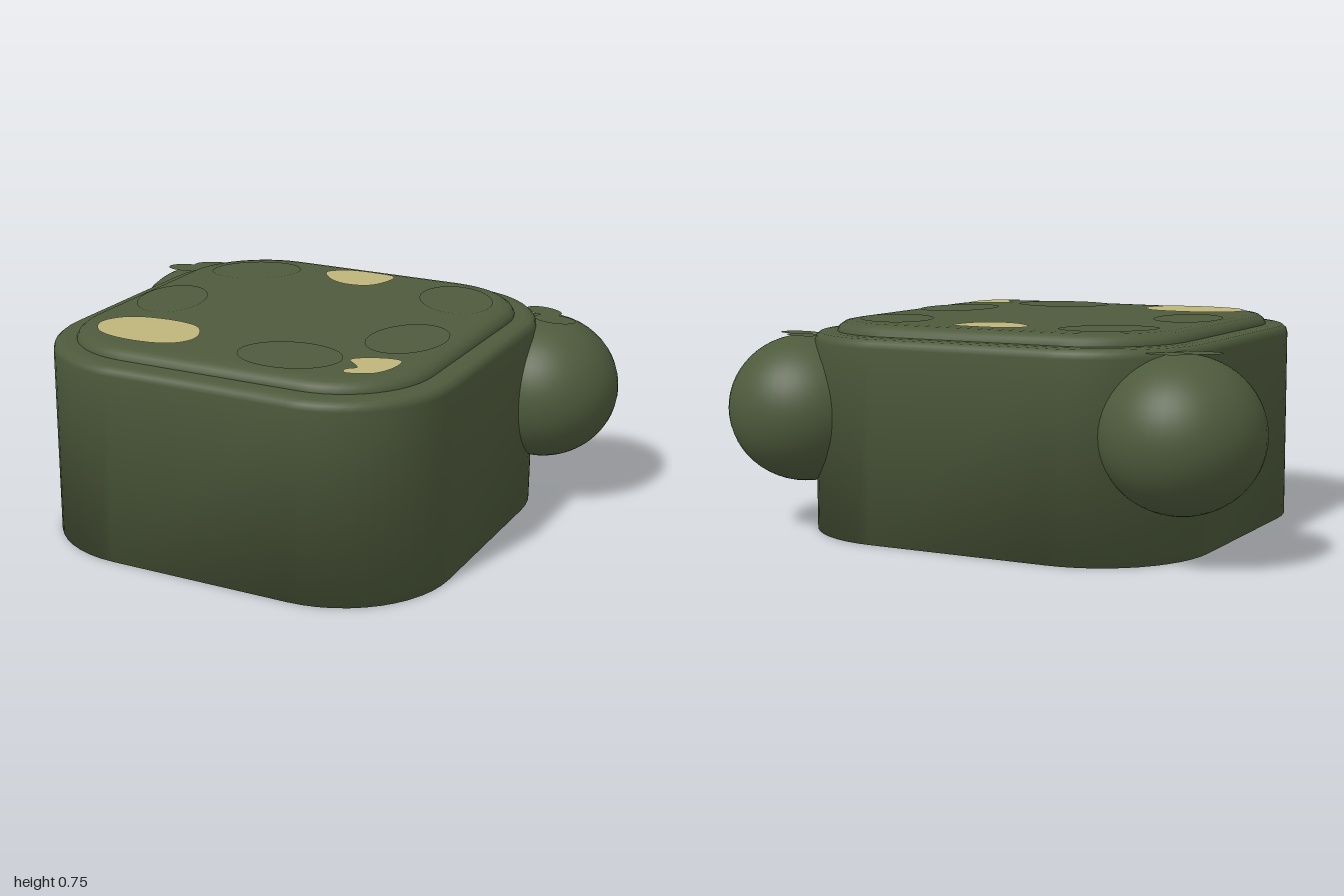
import * as THREE from 'three';

const green = new THREE.MeshStandardMaterial({ color: 0x4e5a3c, side: THREE.DoubleSide });
green.name = 'dark olive';
const cream = new THREE.MeshStandardMaterial({ color: 0xbdb57a, side: THREE.DoubleSide });
cream.name = 'straw';

const CENTER_Z = 0.035;

// Rounded-square rings [half size, corner radius, y] lofted from bottom to top, with smooth normals
function loft(rings, steps = 12) {
  const pos = [], index = [], n = 4 * (steps + 1);
  for (const [half, radius, y] of rings) {
    for (let corner = 0; corner < 4; corner++) {
      const mid = Math.PI / 4 + corner * Math.PI / 2;
      const cx = Math.sign(Math.cos(mid)) * (half - radius);
      const cz = Math.sign(Math.sin(mid)) * (half - radius);
      for (let s = 0; s <= steps; s++) {
        const a = (corner + s / steps) * Math.PI / 2;
        pos.push(cx + radius * Math.cos(a), y, cz + radius * Math.sin(a));
      }
    }
  }
  const bottom = pos.length / 3, top = bottom + 1, last = (rings.length - 1) * n;
  pos.push(0, rings[0][2], 0, 0, rings[rings.length - 1][2], 0);
  for (let j = 0; j < n; j++) {
    const k = (j + 1) % n;
    for (let i = 0; i < last; i += n) {
      index.push(i + j, i + n + j, i + k, i + k, i + n + j, i + n + k);
    }
    index.push(bottom, j, k, top, last + k, last + j);
  }
  const geo = new THREE.BufferGeometry();
  geo.setAttribute('position', new THREE.Float32BufferAttribute(pos, 3));
  geo.setIndex(index);
  geo.computeVertexNormals();
  return geo;
}

// Flat patch through a few [x, z] points
function patch(points) {
  const curve = new THREE.CatmullRomCurve3(points.map(([x, z]) => new THREE.Vector3(x, -z, 0)), true);
  const shape = new THREE.Shape(curve.getPoints(48).slice(0, -1).map(p => new THREE.Vector2(p.x, p.y)));
  return new THREE.ShapeGeometry(shape).rotateX(-Math.PI / 2);
}

// Flat oval lying level
function oval(rx, rz, turn) {
  return new THREE.CircleGeometry(1, 36).scale(rx, rz, 1).rotateX(-Math.PI / 2).rotateY(turn);
}

export function createModel() {
  const model = new THREE.Group();
  const add = (name, geo, mat, x, y, z) => {
    const mesh = new THREE.Mesh(geo, mat);
    mesh.name = name;
    mesh.position.set(x, y, z);
    model.add(mesh);
    return mesh;
  };

  // Main block and raised top pad
  add('body', loft([
    [0.737, 0.4, 0], [0.737, 0.4, 0.67], [0.732, 0.395, 0.688],
    [0.718, 0.381, 0.7], [0.69, 0.353, 0.703], [0.6, 0.27, 0.703],
  ]), green, 0, 0, CENTER_Z);
  add('topPad', loft([
    [0.658, 0.325, 0.69], [0.658, 0.325, 0.706], [0.65, 0.317, 0.722],
    [0.632, 0.3, 0.735], [0.605, 0.273, 0.74], [0.58, 0.25, 0.741],
  ]), green, 0, 0, CENTER_Z);

  // Green oval patches around the top: x, z, half sizes, turn
  const ovals = [
    [-0.41, -0.385, 0.17, 0.12, 0.6], [-0.49, 0.1, 0.12, 0.18, 0.2],
    [0.2, 0.49, 0.18, 0.14, 0.1], [0.47, 0.15, 0.13, 0.18, -0.1],
    [0.43, -0.36, 0.13, 0.18, 0.6],
  ];
  for (const [x, z, rx, rz, turn] of ovals) {
    add('greenPatch', oval(rx, rz, turn), green, x, 0.744, z);
  }

  // Straw-coloured patches
  const strawPatches = [
    [[-0.555, 0.46], [-0.5, 0.37], [-0.33, 0.337], [-0.22, 0.37], [-0.165, 0.49],
      [-0.21, 0.57], [-0.36, 0.6], [-0.5, 0.56]],
    [[-0.155, -0.485], [-0.09, -0.54], [0, -0.55], [0.1, -0.535], [0.11, -0.47],
      [0.07, -0.38], [-0.01, -0.358], [-0.09, -0.39]],
    [[0.4, 0.445], [0.46, 0.395], [0.55, 0.38], [0.565, 0.44], [0.53, 0.54],
      [0.44, 0.575], [0.43, 0.54], [0.455, 0.51]],
  ];
  for (const points of strawPatches) add('strawPatch', patch(points), cream, 0, 0.746, 0);

  // Round pods at the back corners, each with a pair of flat leaves
  for (const side of [-1, 1]) {
    const pod = new THREE.SphereGeometry(1, 40, 28).scale(0.275, 0.261, 0.275);
    add('pod', pod, green, side * 0.725, 0.425, -0.5);
    add('outerLeaf', oval(0.08, 0.05, side * -0.15), green, side * 0.77, 0.688, -0.47);
    add('innerLeaf', oval(0.075, 0.045, side * -0.35), green, side * 0.7, 0.689, -0.55);
  }
  return model;
}
